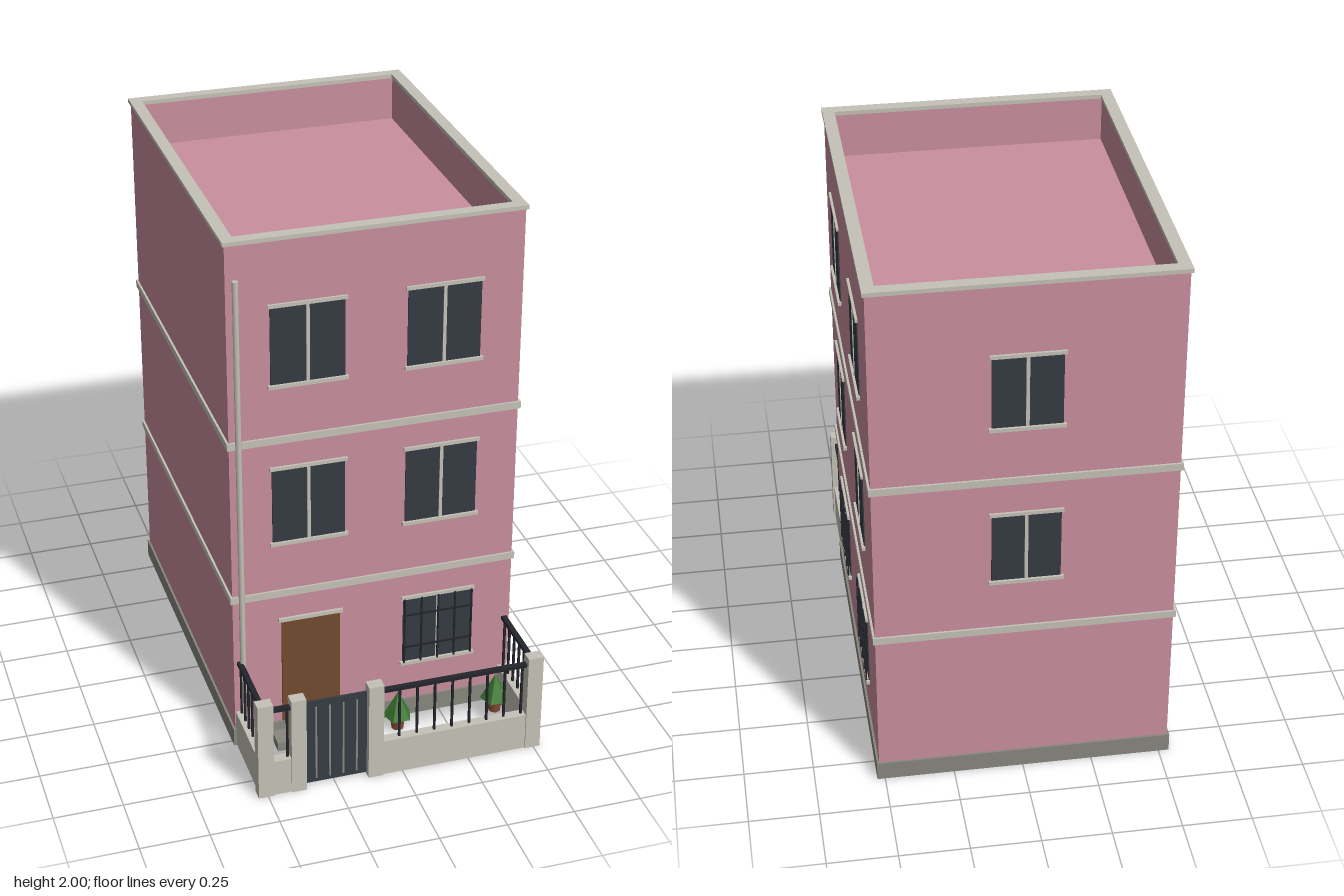
import * as THREE from 'three';

const mat = (name, color) => {
  const m = new THREE.MeshStandardMaterial({ color });
  m.name = name;
  return m;
};

export function createModel() {
  const pink = mat('pink plaster', 0xca8f9e);
  const stone = mat('pale stone', 0xc5c2b8);
  const grey = mat('dark stone', 0x88877f);
  const glass = mat('window glass', 0x353b43);
  const iron = mat('black iron', 0x22252b);
  const gatePaint = mat('gate panel', 0x353c42);
  const wood = mat('door wood', 0x734b30);
  const leaf = mat('leaf green', 0x3f7a33);
  const clay = mat('clay pot', 0x8a4f35);

  const model = new THREE.Group();
  model.name = 'townhouse';

  const add = (parent, name, geo, material, x = 0, y = 0, z = 0) => {
    const mesh = new THREE.Mesh(geo, material);
    mesh.name = name;
    mesh.position.set(x, y, z);
    parent.add(mesh);
    return mesh;
  };
  // Box given by its limits on each axis
  const box = (parent, name, material, x0, x1, y0, y1, z0, z1) =>
    add(parent, name, new THREE.BoxGeometry(x1 - x0, y1 - y0, z1 - z0), material,
      (x0 + x1) / 2, (y0 + y1) / 2, (z0 + z1) / 2);
  const group = (name, parent = model) => {
    const g = new THREE.Group();
    g.name = name;
    parent.add(g);
    return g;
  };

  // House body, plinth and floor bands
  const L = -0.53, R = 0.52, B = -0.84, F = 0.52, MX = -0.005, MZ = -0.16;
  const house = group('house');
  box(house, 'walls', pink, L, R, 0.03, 1.82, B, F);
  box(house, 'plinth', grey, L - 0.008, R + 0.008, 0, 0.07, B - 0.008, F + 0.008);
  for (const y of [0.62, 1.24])
    box(house, 'floorBand', stone, L - 0.008, R + 0.008, y - 0.013, y + 0.014, B - 0.008, F + 0.008);

  // Hollow rectangle ring lying flat, for the parapet and its coping
  const ring = (name, material, out, inset, y0, y1) => {
    const rect = (C, d) => new C([
      new THREE.Vector2(L - d, -F - d), new THREE.Vector2(R + d, -F - d),
      new THREE.Vector2(R + d, -B + d), new THREE.Vector2(L - d, -B + d)]);
    const shape = rect(THREE.Shape, out);
    shape.holes.push(rect(THREE.Path, -inset));
    const geo = new THREE.ExtrudeGeometry(shape, { depth: y1 - y0, bevelEnabled: false });
    geo.rotateX(-Math.PI / 2);
    add(house, name, geo, material, 0, y0, 0);
  };
  ring('parapet', pink, 0, 0.032, 1.82, 1.985);
  ring('coping', stone, 0.008, 0.036, 1.985, 2);

  // Window built facing +z on the plane z = 0
  const addWindow = (x, z, turn, y0, y1, w, barred) => {
    const g = group(barred ? 'barredWindow' : 'window');
    g.position.set(x, 0, z);
    g.rotation.y = turn;
    const h = w / 2;
    box(g, 'glass', glass, -h, h, y0, y1, -0.005, 0.004);
    box(g, 'mullion', stone, -0.006, 0.006, y0, y1, -0.005, 0.007);
    box(g, 'lintel', stone, -h - 0.008, h + 0.008, y1 - 0.003, y1 + 0.01, -0.005, 0.009);
    box(g, 'sill', stone, -h - 0.01, h + 0.01, y0 - 0.011, y0 + 0.002, -0.005, 0.013);
    if (!barred) return;
    for (let i = -2; i <= 2; i++) {
      const bx = i * (h - 0.004) / 2;
      box(g, 'windowBar', iron, bx - 0.003, bx + 0.003, y0, y1, 0.009, 0.015);
    }
    for (const t of [0.25, 0.75]) {
      const by = y0 + (y1 - y0) * t;
      box(g, 'windowCrossBar', iron, -h, h, by - 0.003, by + 0.003, 0.009, 0.015);
    }
  };
  for (const y of [0.833, 1.453]) {
    for (const s of [-1, 1]) {
      addWindow(MX + s * 0.243, F, 0, y, y + 0.292, 0.264, false);
      addWindow(R, MZ + 0.035 + s * 0.32, Math.PI / 2, y, y + 0.292, 0.264, false);
    }
    addWindow(MX, B, Math.PI, y, y + 0.27, 0.24, false);
  }
  addWindow(MX + 0.243, F, 0, 0.235, 0.508, 0.264, true);
  for (const s of [-1, 1])
    addWindow(R, MZ + 0.035 + s * 0.32, Math.PI / 2, 0.235, 0.508, 0.264, true);

  // Front door, step and drainpipe
  const entrance = group('entrance');
  box(entrance, 'door', wood, -0.352, -0.135, 0.035, 0.502, F - 0.005, F + 0.007);
  box(entrance, 'doorLintel', stone, -0.363, -0.124, 0.5, 0.514, F - 0.005, F + 0.01);
  box(entrance, 'doorStep', grey, -0.395, -0.09, 0, 0.035, F, 0.61);
  add(house, 'drainpipe', new THREE.CylinderGeometry(0.011, 0.011, 1.86, 8), stone, -0.498, 0.93, F + 0.011);

  // Yard wall, posts and railings
  const yard = group('frontYard');
  for (const [x0, x1] of [[-0.535, -0.478], [-0.413, -0.358], [-0.129, -0.073], [0.468, 0.525]])
    box(yard, 'wallPost', stone, x0, x1, 0, 0.387, 0.81, 0.855);
  const fence = (along, a, b, c, bars) => {
    // Box running from a to b along x or z, centred on c across
    const run = (name, m, s, e, y0, y1, t) => along === 'x'
      ? box(yard, name, m, s, e, y0, y1, c - t, c + t)
      : box(yard, name, m, c - t, c + t, y0, y1, s, e);
    run('lowWall', stone, a, b, 0, 0.143, 0.019);
    run('topRail', iron, a, b, 0.345, 0.358, 0.01);
    for (const p of bars) run('railBar', iron, p - 0.004, p + 0.004, 0.143, 0.346, 0.004);
  };
  const spaced = (n, a, step) => Array.from({ length: n }, (_, i) => a + i * step);
  fence('x', -0.478, -0.413, 0.831, [-0.422]);
  fence('x', -0.073, 0.468, 0.831, spaced(8, -0.008, 0.066));
  for (const x of [-0.508, 0.5]) fence('z', F, 0.81, x, spaced(6, 0.535, 0.049));

  // Gate
  const gate = group('gate', yard);
  box(gate, 'gatePanel', gatePaint, -0.357, -0.13, 0.012, 0.36, 0.826, 0.834);
  for (const x of spaced(4, -0.318, 0.05))
    box(gate, 'gateBar', grey, x - 0.003, x + 0.003, 0.03, 0.335, 0.83, 0.839);

  // Potted shrubs with faceted foliage
  const foliage = new THREE.ConeGeometry(0.055, 0.105, 5).toNonIndexed();
  foliage.computeVertexNormals();
  for (const x of [0.067, 0.447]) {
    const plant = group('pottedShrub', yard);
    plant.position.set(x, 0, 0.595);
    add(plant, 'pot', new THREE.CylinderGeometry(0.03, 0.023, 0.055, 8), clay, 0, 0.0275, 0);
    add(plant, 'foliage', foliage, leaf, 0, 0.106, 0).rotation.y = Math.PI;
  }
  return model;
}
